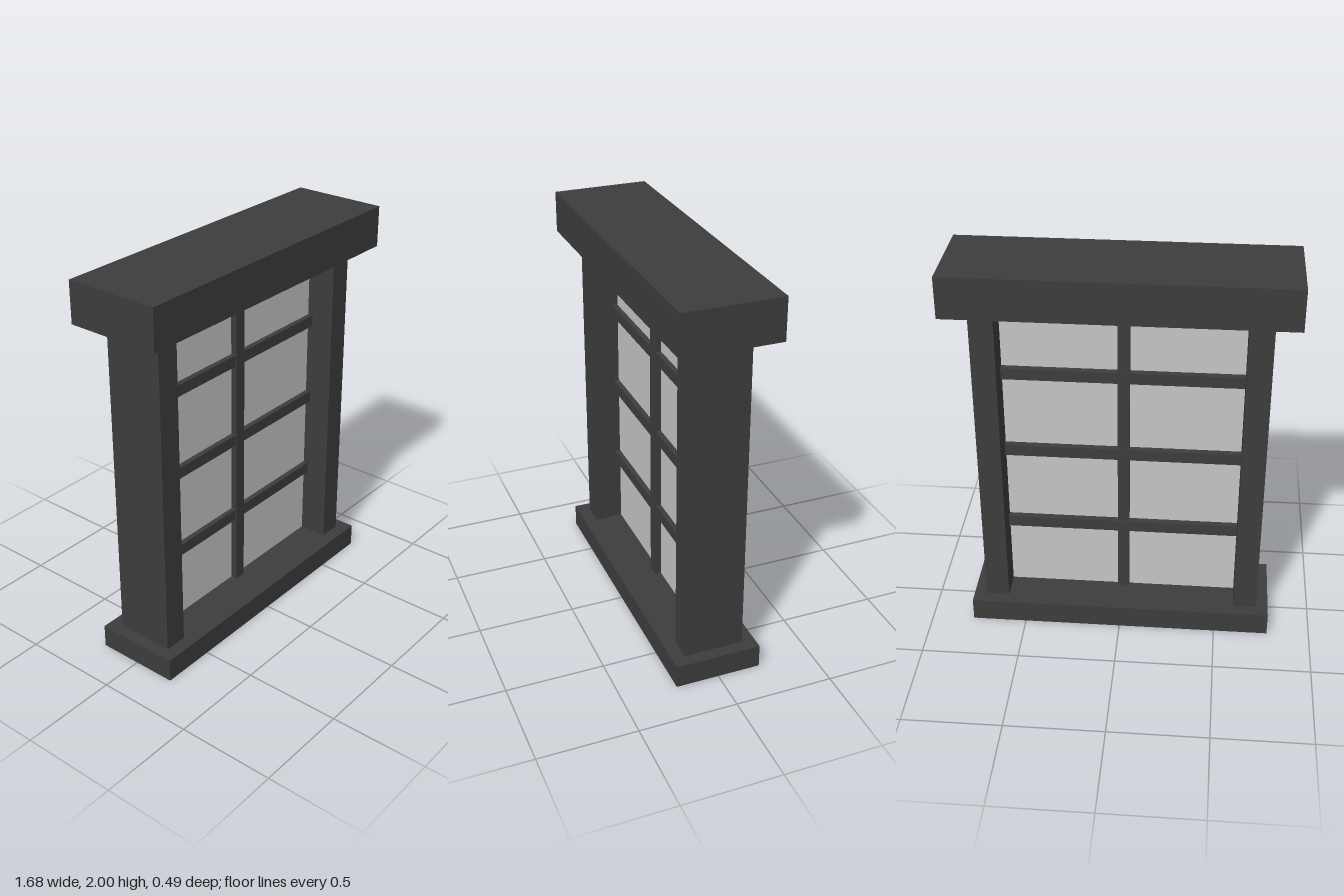
import * as THREE from 'three';

export function createModel() {
  const model = new THREE.Group();
  model.name = 'window';

  const frameDark = new THREE.MeshStandardMaterial({ color: 0x3d3d3d });
  frameDark.name = 'frameDark';
  const paneGrey = new THREE.MeshStandardMaterial({ color: 0xc7c7c7 });
  paneGrey.name = 'paneGrey';

  // Box given by its extents on each axis
  function block(name, material, [x0, x1], [y0, y1], [z0, z1]) {
    const mesh = new THREE.Mesh(new THREE.BoxGeometry(x1 - x0, y1 - y0, z1 - z0), material);
    mesh.position.set((x0 + x1) / 2, (y0 + y1) / 2, (z0 + z1) / 2);
    mesh.name = name;
    model.add(mesh);
  }

  const sillTop = 0.12;
  const lintelBottom = 1.79;
  const opening = [sillTop, lintelBottom];

  // Sill and lintel
  block('sill', frameDark, [-0.78, 0.78], [0, sillTop], [-0.22, 0.22]);
  block('lintel', frameDark, [-0.84, 0.84], [lintelBottom, 2], [-0.245, 0.245]);

  // Side posts
  block('rightPost', frameDark, [-0.718, -0.598], opening, [-0.153, 0.153]);
  block('leftPost', frameDark, [0.595, 0.715], opening, [-0.153, 0.153]);

  // Glass
  block('glassPane', paneGrey, [-0.598, 0.595], opening, [-0.003, 0.003]);

  // Glazing bars: the upright stands proud at the front, the crossbars at the back
  block('uprightBar', frameDark, [-0.038, 0.022], opening, [-0.03, 0.037]);
  for (const y of [0.52, 0.96, 1.4]) {
    block('crossBar', frameDark, [-0.598, 0.595], [y - 0.03, y + 0.03], [-0.037, 0.03]);
  }

  return model;
}
